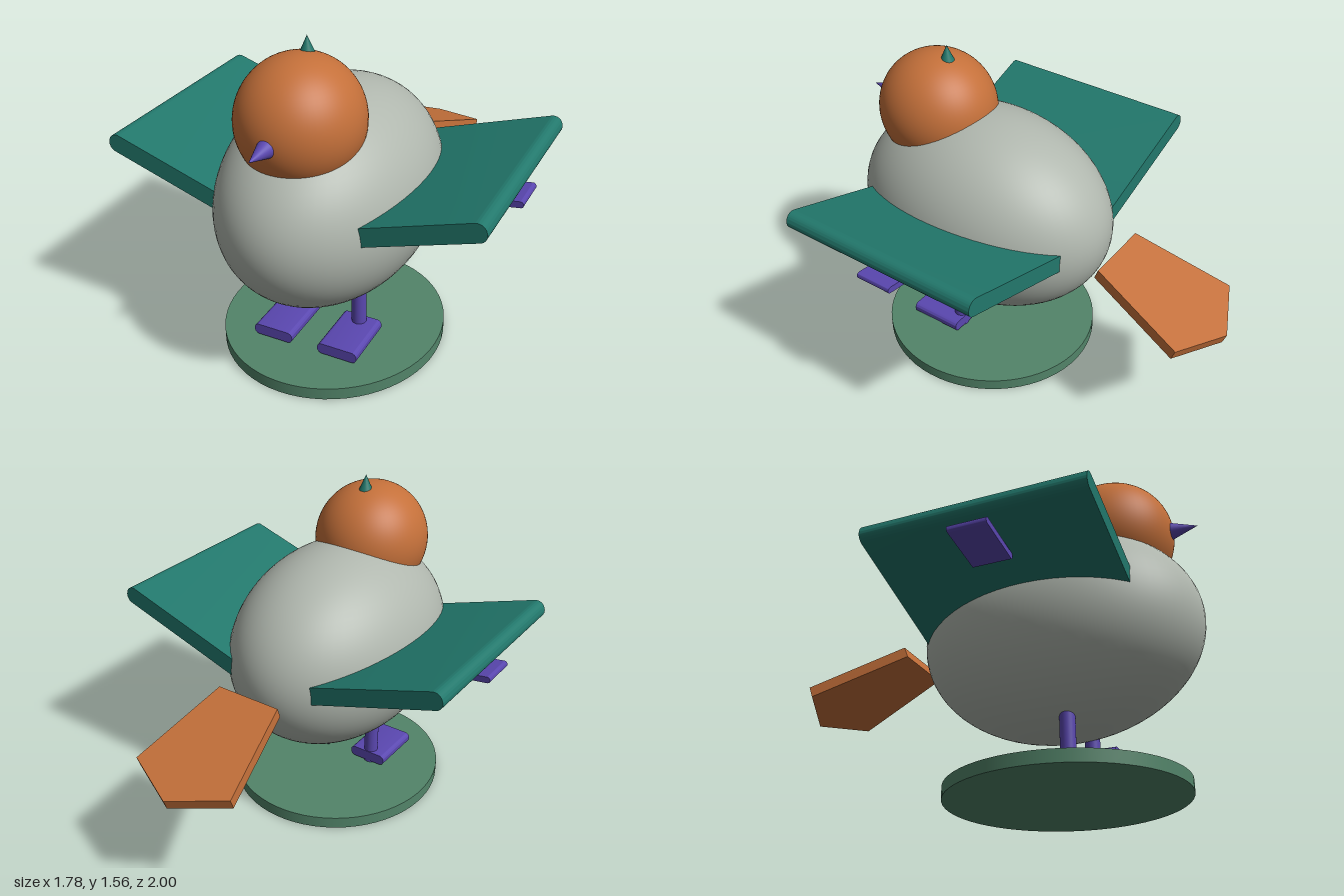
import * as THREE from 'three';
import { toCreasedNormals } from 'three/addons/utils/BufferGeometryUtils.js';

const material = (name, color) => {
  const m = new THREE.MeshStandardMaterial({ color });
  m.name = name;
  return m;
};

// Bar with a rounded outline in x-y, centred and extruded along z
function roundedSlab(width, height, depth, r) {
  const x = width / 2 - r, y = height / 2 - r;
  const shape = new THREE.Shape();
  shape.absarc(x, y, r, 0, Math.PI / 2);
  shape.absarc(-x, y, r, Math.PI / 2, Math.PI);
  shape.absarc(-x, -y, r, Math.PI, Math.PI * 1.5);
  shape.absarc(x, -y, r, Math.PI * 1.5, Math.PI * 2);
  const geo = new THREE.ExtrudeGeometry(shape, { depth, bevelEnabled: false, curveSegments: 8 });
  geo.translate(0, 0, -depth / 2);
  return toCreasedNormals(geo, 0.6);
}

export function createModel() {
  const model = new THREE.Group();
  model.name = 'bird';
  const grey = material('body grey', 0xb0b7ae);
  const orange = material('orange', 0xc4703a);
  const teal = material('teal', 0x22786c);
  const purple = material('purple', 0x5a47b0);
  const green = material('stand green', 0x528469);

  const add = (name, geo, mat, x, y, z) => {
    const mesh = new THREE.Mesh(geo, mat);
    mesh.name = name;
    mesh.position.set(x, y, z);
    model.add(mesh);
    return mesh;
  };

  // Stand, body and head
  const stand = new THREE.CylinderGeometry(1, 1, 0.058, 64).scale(0.522, 1, 0.547);
  add('stand', stand, green, 0, 0.029, 0.324);
  const ball = (a, b, c) => new THREE.SphereGeometry(1, 64, 40).scale(a, b, c);
  add('body', ball(0.47, 0.495, 0.665), grey, 0, 0.775, 0.325);
  add('head', ball(0.275, 0.283, 0.288), orange, 0, 1.225, 0.595);

  // Beak and crest
  const beak = add('beak', new THREE.ConeGeometry(0.042, 0.13, 32), purple, 0, 1.217, 0.935);
  beak.rotation.x = Math.PI / 2;
  add('crest', new THREE.ConeGeometry(0.033, 0.075, 32), teal, 0, 1.527, 0.525);

  // Wings, feathers under them, legs and feet
  const wingGeo = roundedSlab(0.854, 0.086, 1.016, 0.04);
  const featherGeo = roundedSlab(0.266, 0.03, 0.177, 0.014);
  const legGeo = new THREE.CylinderGeometry(0.035, 0.035, 0.36, 32);
  const footGeo = roundedSlab(0.198, 0.054, 0.272, 0.024);
  for (const s of [1, -1]) {
    const side = s > 0 ? 'left' : 'right';
    add(side + 'Wing', wingGeo, teal, s * 0.466, 0.88, 0.253).rotation.z = s * 0.315;
    add(side + 'Feather', featherGeo, purple, s * 0.756, 0.89, 0.254).rotation.z = s * 0.14;
    add(side + 'Leg', legGeo, purple, s * 0.165, 0.235, 0.397);
    add(side + 'Foot', footGeo, purple, s * 0.165, 0.097, 0.496);
  }

  // Tail: five-sided plate sloping down to the back
  const outline = [[-0.164, 0], [0.164, 0], [0.262, 0.488], [0, 0.617], [-0.262, 0.488]];
  const tailShape = new THREE.Shape(outline.map(([x, y]) => new THREE.Vector2(x, y)));
  const tailGeo = new THREE.ExtrudeGeometry(tailShape, { depth: 0.053, bevelEnabled: false });
  tailGeo.rotateX(-Math.PI / 2);
  add('tail', tailGeo, orange, 0, 0.749, -0.4).rotation.x = -0.35;

  return model;
}
